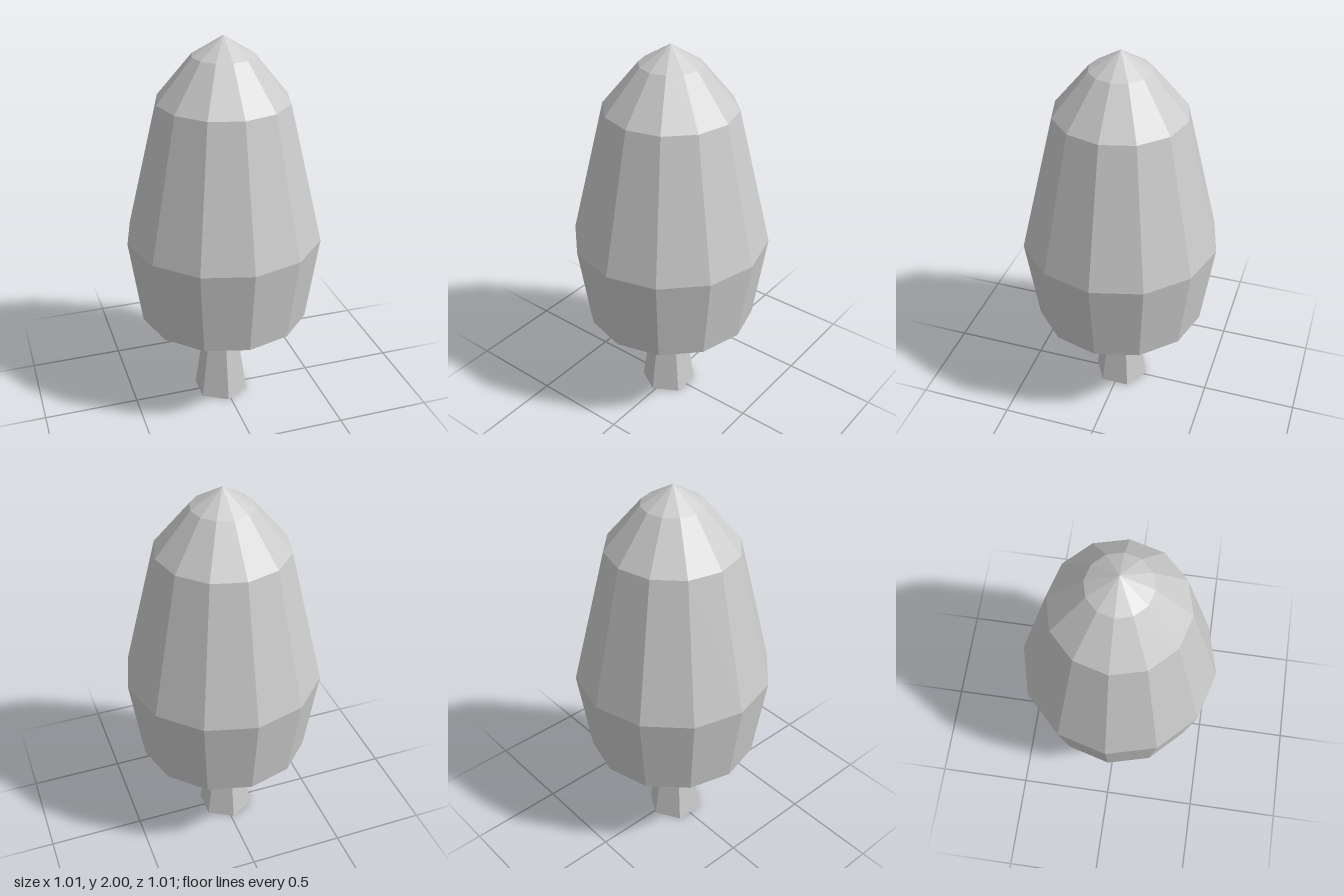
import * as THREE from 'three';

export function createModel() {
  const tree = new THREE.Group();
  tree.name = 'tree';
  const material = new THREE.MeshStandardMaterial({ color: 0xcccccc, flatShading: true });

  // Canopy: twelve-sided faceted crown with a flat underside
  const profile = [
    [0, 0.43], [0.302, 0.43], [0.441, 0.517], [0.506, 0.972],
    [0.333, 1.687], [0.155, 1.904], [0, 2],
  ].map(([r, y]) => new THREE.Vector2(r, y));
  const canopy = new THREE.Mesh(new THREE.LatheGeometry(profile, 12), material);
  canopy.name = 'canopy';

  // Trunk: tapered hexagonal post, slightly off-centre, running up into the canopy
  const height = 0.5;
  const trunk = new THREE.Mesh(new THREE.CylinderGeometry(0.073, 0.146, height, 6), material);
  trunk.position.set(-0.015, height / 2, 0);
  trunk.name = 'trunk';

  tree.add(canopy, trunk);
  return tree;
}
